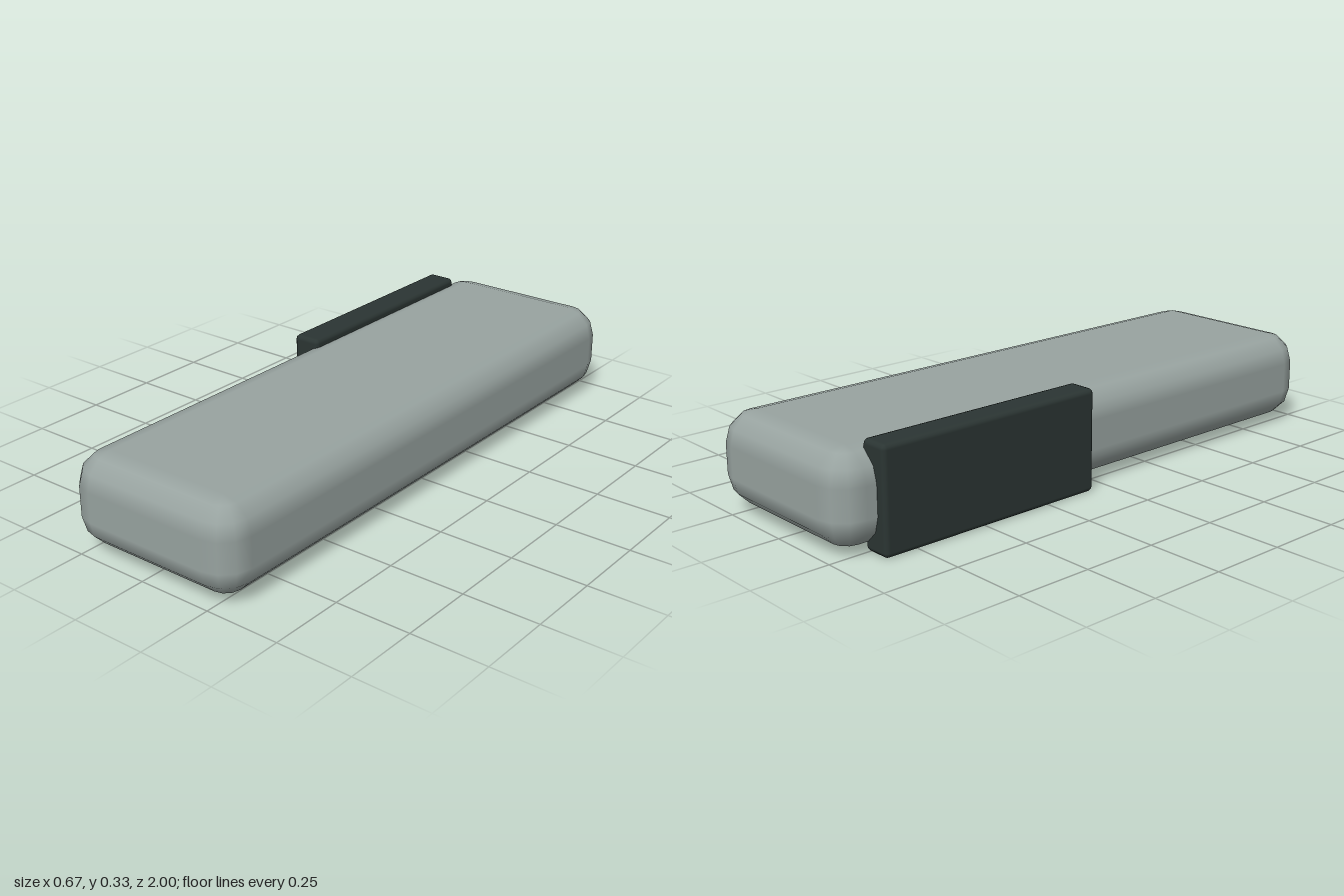
import * as THREE from 'three';

// Box with rounded edges, each quarter turn made of 3 even steps
function roundedBox(w, h, d, r) {
  const geo = new THREE.PlaneGeometry(1, 1, 16, 9);
  const { position, normal } = geo.attributes;
  const step = Math.PI / 6, quarter = Math.PI / 2;
  for (let row = 0; row <= 9; row++) {
    const cap = row === 0 || row === 9;
    const top = row < 5 ? 1 : -1;
    const lat = (row < 5 ? row - 1 : row - 2) * step; // angle down from the top
    for (let col = 0; col <= 16; col++) {
      const i = row * 17 + col;
      if (cap) { // centre of the flat top or bottom
        position.setXYZ(i, 0, top * h / 2, 0);
        normal.setXYZ(i, 0, top, 0);
        continue;
      }
      const q = Math.floor(col / 4);
      const turn = q * quarter + (col % 4) * step;
      const mid = q * quarter + quarter / 2;
      const nx = Math.sin(lat) * Math.sin(turn);
      const ny = Math.cos(lat);
      const nz = Math.sin(lat) * Math.cos(turn);
      position.setXYZ(i,
        Math.sign(Math.sin(mid)) * (w / 2 - r) + nx * r,
        top * (h / 2 - r) + ny * r,
        Math.sign(Math.cos(mid)) * (d / 2 - r) + nz * r);
      normal.setXYZ(i, nx, ny, nz);
    }
  }
  return geo;
}

export function createModel() {
  const group = new THREE.Group();
  const bodyGrey = new THREE.MeshStandardMaterial({ color: 0x98a3a0 });
  bodyGrey.name = 'body grey';
  const clipDark = new THREE.MeshStandardMaterial({ color: 0x2b3533 });
  clipDark.name = 'dark green grey';

  // Long rounded body
  const body = new THREE.Mesh(roundedBox(0.633, 0.298, 2, 0.1), bodyGrey);
  body.name = 'body';
  body.position.set(0.0165, 0.167, 0);

  // Side plate towards the back of the right side
  const plate = new THREE.Mesh(roundedBox(0.098, 0.333, 0.8, 0.016), clipDark);
  plate.name = 'sidePlate';
  plate.position.set(-0.284, 0.1665, -0.467);

  group.add(body, plate);
  return group;
}
